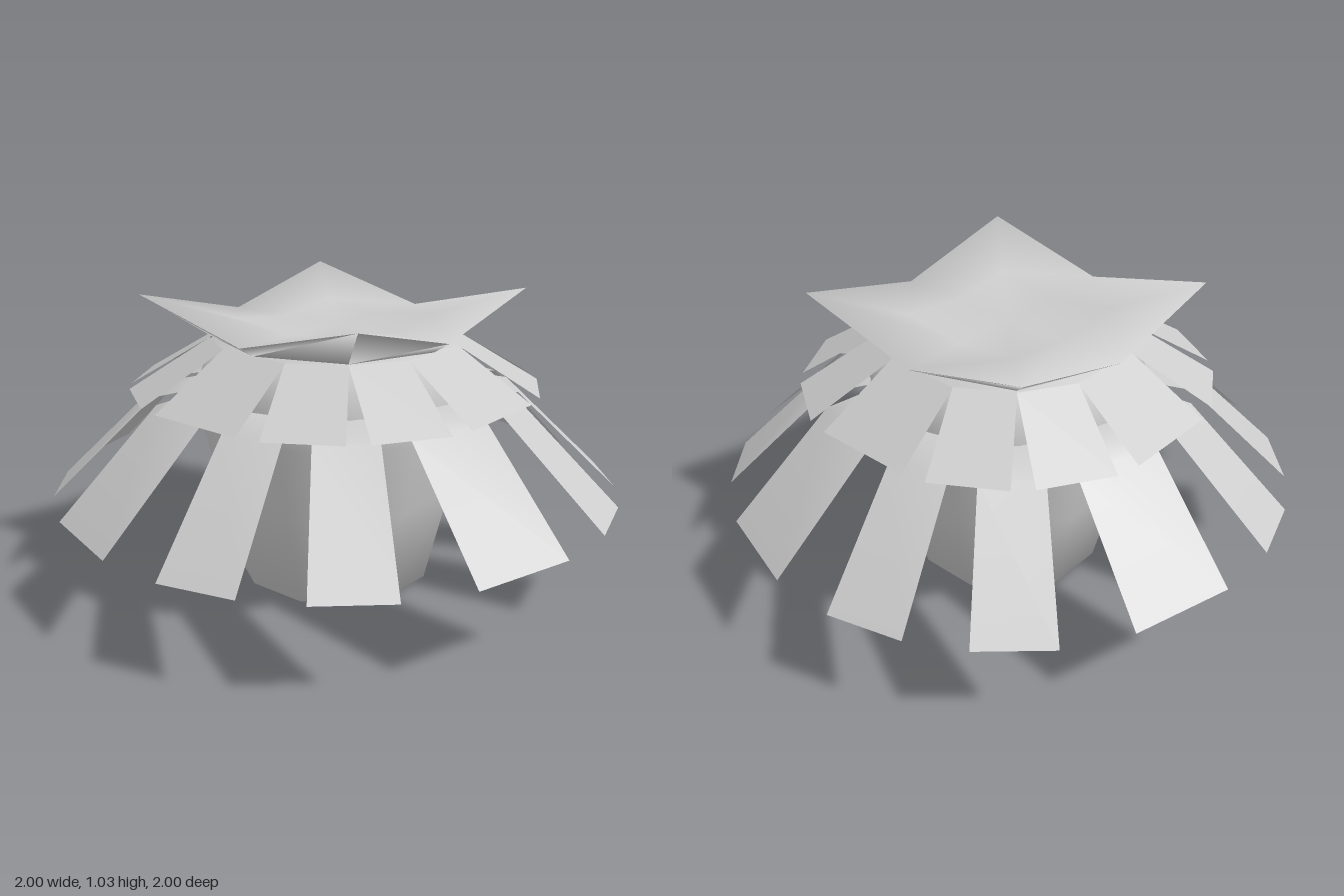
import * as THREE from 'three';

const material = new THREE.MeshStandardMaterial({ color: 0xcccccc });
const flapMaterial = new THREE.MeshStandardMaterial({ color: 0xcccccc, side: THREE.DoubleSide });
const rad = THREE.MathUtils.degToRad;

function makeMesh(name, material, positions, indices) {
  const g = new THREE.BufferGeometry();
  g.setAttribute('position', new THREE.Float32BufferAttribute(positions, 3));
  g.setIndex(indices);
  g.computeVertexNormals();
  const mesh = new THREE.Mesh(g, material);
  mesh.name = name;
  return mesh;
}

// Closed smooth solid from rings of points, lowest ring first
function ringSolid(name, rings) {
  const n = rings[0].length, last = (rings.length - 1) * n;
  const pos = rings.flat(2), idx = [];
  const bottom = pos.length / 3, top = bottom + 1;
  for (const ring of [rings[0], rings[rings.length - 1]]) {
    pos.push(0, Math.min(...ring.map((p) => p[1])), 0);
  }
  for (let i = 0; i < n; i++) {
    const j = (i + 1) % n;
    for (let k = 0; k < last; k += n) {
      idx.push(k + i, k + j, k + n + j, k + i, k + n + j, k + n + i);
    }
    idx.push(bottom, j, i, top, last + i, last + j);
  }
  return makeMesh(name, material, pos, idx);
}

// Twelve-sided barrel; the faces towards the four sides are the wider ones
function makeBody() {
  const angles = [];
  for (let q = 0; q < 4; q++) angles.push(q * 90 - 18.4, q * 90 + 18.4, q * 90 + 45);
  const profile = [[0.347, 0], [0.43, 0.34], [0.487, 0.6], [0.49, 0.72], [0.44, 0.875]];
  return ringSolid('body', profile.map(([r, y]) =>
    angles.map((a) => [r * Math.sin(rad(a)), y, r * Math.cos(rad(a))])));
}

// Square lid sagging between raised corners, narrowing below to an octagonal rim.
// Each ring: radius and height at the sides, then at the diagonals.
function makeCap() {
  const rings = [
    [0.42, 0.88, 0.43, 0.88],
    [0.48, 0.917, 0.48 * Math.SQRT2, 1.035],
    [0.24, 0.917, 0.24 * Math.SQRT2, 0.945],
  ];
  return ringSolid('cap', rings.map(([r0, y0, r1, y1]) =>
    Array.from({ length: 8 }, (_, i) => {
      const a = (i * Math.PI) / 4;
      const [r, y] = i % 2 ? [r1, y1] : [r0, y0];
      return [r * Math.sin(a), y, r * Math.cos(a)];
    })));
}

// Thin strip running outwards along +z; each section is [radius, height, width]
function makeFlap(name, sections) {
  const pos = [], idx = [];
  sections.forEach(([r, y, w], i) => {
    pos.push(-w / 2, y, r, w / 2, y, r);
    if (i > 0) {
      const a = 2 * i - 2;
      idx.push(a, a + 2, a + 3, a, a + 3, a + 1);
    }
  });
  return makeMesh(name, flapMaterial, pos, idx);
}

// Ring of twelve flaps: in each quarter one wide flap and two narrow ones
function makeFlapRing(name, wide, narrow, turn) {
  const group = new THREE.Group();
  group.name = name + 's';
  for (let q = 0; q < 4; q++) {
    for (const a of [0, 31.7, 58.3]) {
      const flap = makeFlap(name, a ? narrow : wide);
      flap.rotation.y = rad(q * 90 + a + turn);
      group.add(flap);
    }
  }
  return group;
}

export function createModel() {
  const model = new THREE.Group();
  model.name = 'flaredPot';
  model.add(
    makeBody(),
    makeCap(),
    makeFlapRing('upperFlap',
      [[0.42, 0.88, 0.28], [0.692, 0.71, 0.36]],
      [[0.43, 0.88, 0.205], [0.715, 0.71, 0.26]], 0),
    makeFlapRing('lowerFlap',
      [[0.47, 0.715, 0.28], [0.63, 0.688, 0.31], [0.988, 0.337, 0.367]],
      [[0.48, 0.715, 0.18], [0.64, 0.688, 0.21], [1.003, 0.337, 0.263]], -15.8),
  );
  return model;
}
